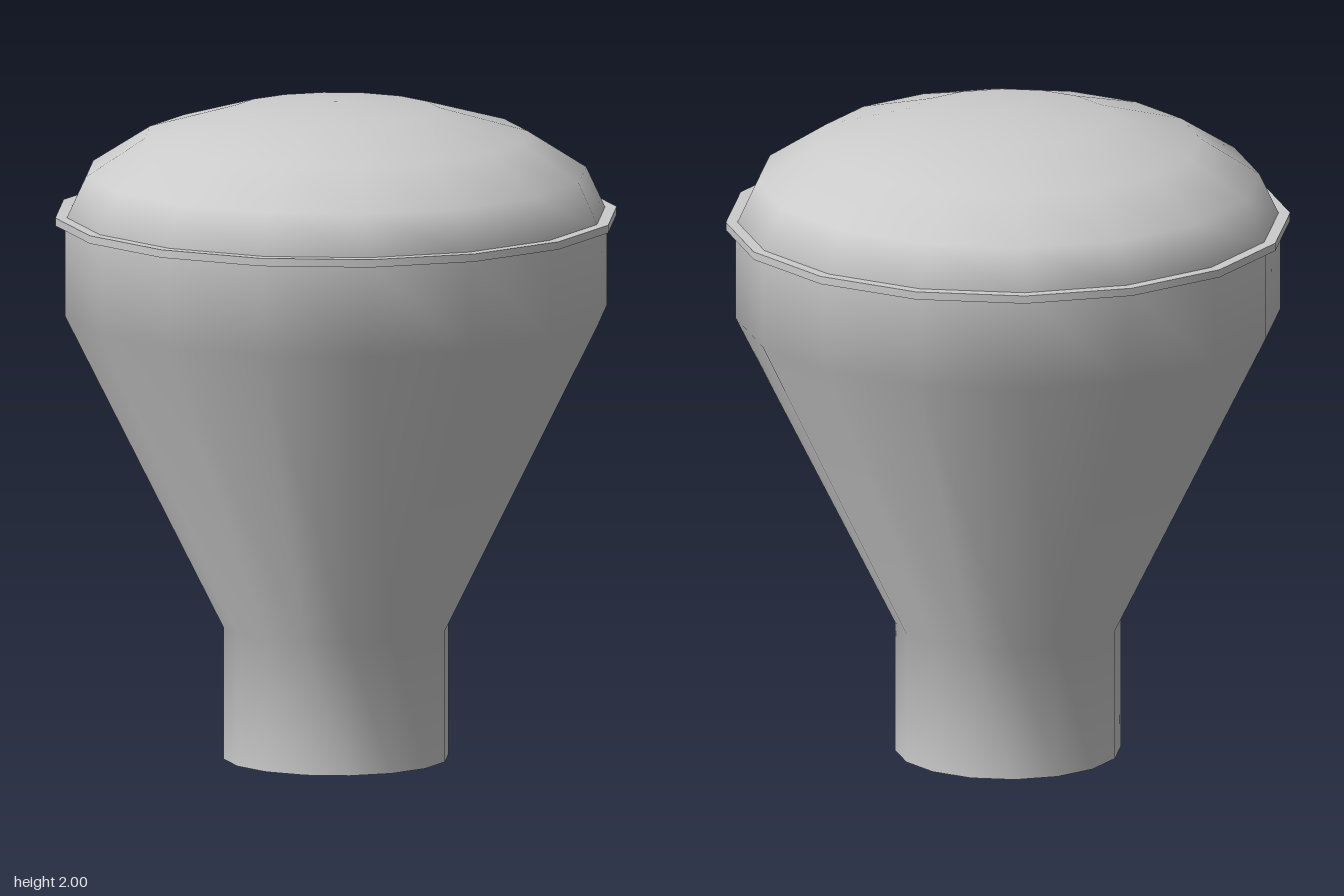
import * as THREE from 'three';

const SIDES = 16;

export function createModel() {
  const model = new THREE.Group();
  const material = new THREE.MeshStandardMaterial({ color: 0xcccccc });
  const add = (name, geometry, y = 0) => {
    const mesh = new THREE.Mesh(geometry, material);
    mesh.name = name;
    mesh.position.y = y;
    model.add(mesh);
    return mesh;
  };

  // Neck flaring into a wide bowl, smooth all the way up
  const profile = [[0.34, 0], [0.34, 0.4], [0.82, 1.36], [0.82, 1.65]];
  add('body', new THREE.LatheGeometry(profile.map(([r, y]) => new THREE.Vector2(r, y)), SIDES));

  // Flat underside of the neck, turned so its corners meet the neck
  add('base', new THREE.CircleGeometry(0.34, SIDES).rotateX(Math.PI / 2));

  // Thin collar where bowl and dome meet
  add('rim', new THREE.CylinderGeometry(0.85, 0.85, 0.024, SIDES), 1.649);

  // Shallow dome: a flattened half sphere
  const dome = new THREE.SphereGeometry(0.82, SIDES, 4, 0, Math.PI * 2, 0, Math.PI / 2);
  add('dome', dome.scale(1, 0.35 / 0.82, 1), 1.65);

  return model;
}
